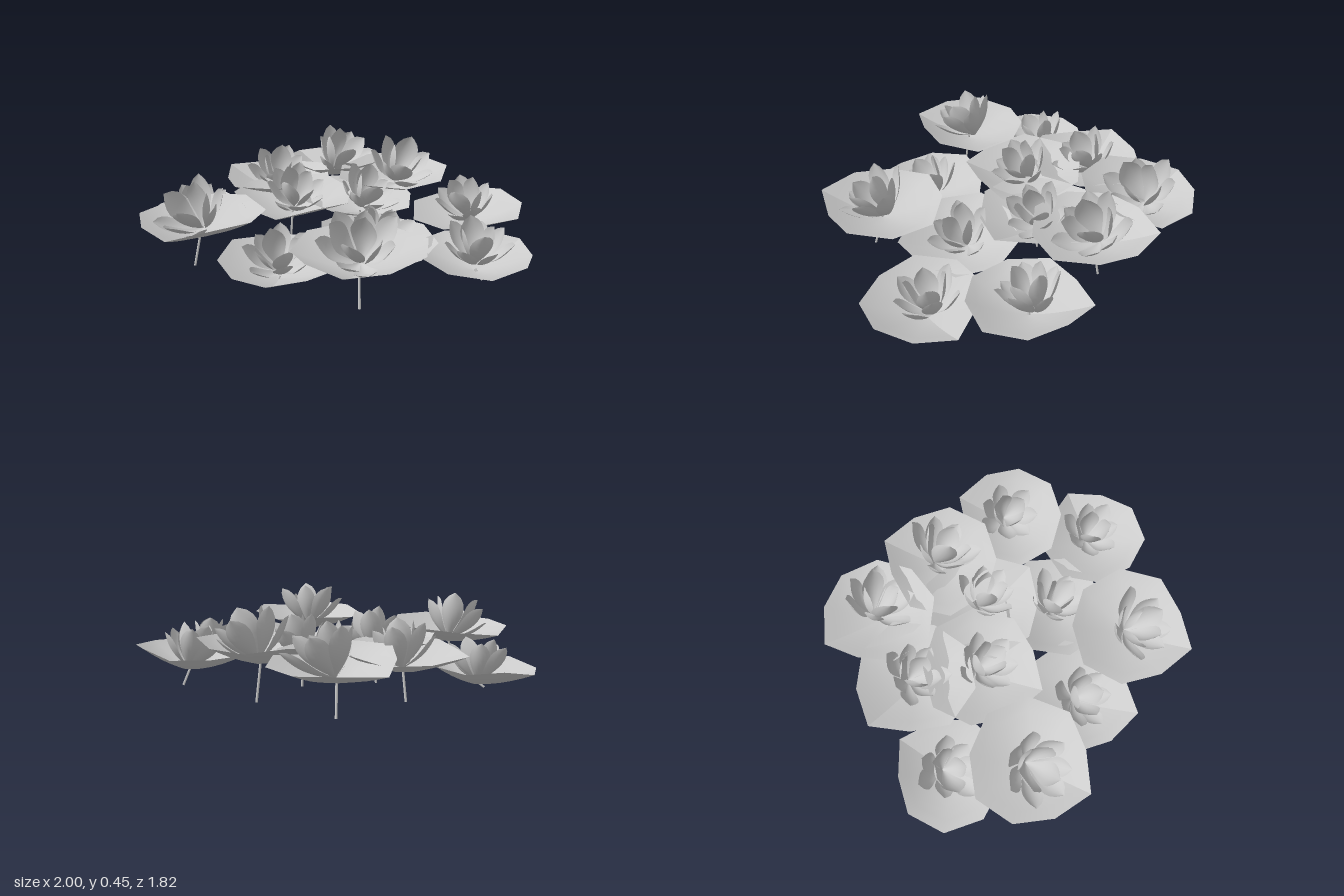
import * as THREE from 'three';

const material = new THREE.MeshStandardMaterial({ color: 0xcccccc, side: THREE.DoubleSide });

// x, z, height of leaf base, leaf scale, direction of leaf tip, leaf tilt about x and z, flower lean direction and angle
const PLANTS = [
  [-0.12, -0.635, 0.155, 0.295, -2.5, -0.1, 0, 0.5, 0.5],
  [0.265, -0.45, 0.175, 0.3, -1.6, 0.03, 0.03, 0.7, 0.5],
  [0.69, -0.22, 0.08, 0.285, -1.57, 0.04, 0.09, 2.2, 0.35],
  [0.745, 0.24, 0.035, 0.28, -0.8, 0, 0, 1.6, 0.2],
  [0.255, 0.6, 0.165, 0.305, 1.6, -0.02, 0.03, 1.5, 0.55],
  [-0.14, 0.47, 0.02, 0.29, 1.5, 0.02, 0, 1.6, 0.4],
  [-0.56, 0.36, 0.155, 0.305, 1.7, -0.02, 0.06, 2.0, 0.55],
  [-0.715, -0.02, 0.015, 0.28, -1.36, 0.03, 0.07, 1.7, 0.4],
  [-0.375, -0.335, 0.14, 0.305, -2.8, -0.04, 0.03, 1.2, 0.45],
  [-0.205, -0.03, 0.145, 0.305, 1.57, 0.02, 0, 1.1, 0.45],
  [0.13, -0.15, 0.125, 0.3, 0.5, 0, 0, 0.6, 0.45],
  [0.27, 0.2, 0.045, 0.29, 1.2, 0.03, -0.12, 0.6, 0.4],
];

// Rim radius at each of the nine corners, starting at the tip
const RIM = [1.03, 0.87, 1.0, 1.06, 1.04, 0.98, 1.03, 0.98, 0.92];

// Shallow nine-cornered bowl with a slightly rippled rim
function leafGeometry(scale, tip, seed) {
  const geometry = new THREE.RingGeometry(0.002, 1, RIM.length, 5);
  geometry.rotateX(-Math.PI / 2);
  const p = geometry.attributes.position;
  for (let i = 0; i < p.count; i++) {
    const corner = i % (RIM.length + 1);
    const t = Math.hypot(p.getX(i), p.getZ(i));
    const a = tip - (corner / RIM.length) * Math.PI * 2;
    const r = t * scale * RIM[corner % RIM.length];
    const y = 0.1 * Math.pow(t, 1.5) + 0.012 * t * t * Math.sin(3 * a + seed * 2);
    p.setXYZ(i, Math.cos(a) * r, y, Math.sin(a) * r);
  }
  geometry.computeVertexNormals();
  return geometry;
}

// Spoon-shaped petal rising along y, with its hollow face towards +z
function petalGeometry(length, width) {
  const geometry = new THREE.PlaneGeometry(1, 1, 6, 10);
  const p = geometry.attributes.position;
  for (let i = 0; i < p.count; i++) {
    const u = p.getX(i) * 2;
    const v = p.getY(i) + 0.5;
    const half = (width / 2) * (0.1 * (1 - v) + Math.pow(Math.max(0, Math.sin(Math.PI * Math.pow(v, 1.7))), 0.75));
    p.setXYZ(i, u * half, v * length, 0.35 * half * u * u - 0.1 * length * Math.sin(Math.PI * v));
  }
  geometry.computeVertexNormals();
  return geometry;
}

const RINGS = [
  { name: 'outerPetal', count: 7, elevation: 0.78, geometry: petalGeometry(0.24, 0.1) },
  { name: 'innerPetal', count: 4, elevation: 1.15, geometry: petalGeometry(0.24, 0.115) },
];

// Two rings of petals, spread low outside and standing inside
function flower(seed, scale) {
  const group = new THREE.Group();
  group.name = 'flower';
  RINGS.forEach((ring, k) => {
    for (let i = 0; i < ring.count; i++) {
      const petal = new THREE.Mesh(ring.geometry, material);
      petal.name = ring.name;
      petal.rotation.order = 'YXZ';
      petal.rotation.y = ((i + 0.5 * k) / ring.count) * Math.PI * 2 + seed + 0.15 * Math.sin(i * 5 + seed);
      petal.rotation.x = ring.elevation + 0.1 * Math.sin(i * 3.7 + seed) - Math.PI / 2;
      petal.scale.setScalar(scale * (1 + 0.06 * Math.sin(i * 2.3 + seed)));
      group.add(petal);
    }
  });
  return group;
}

// Thin stem leaning outwards on its way down
function stem(top, foot) {
  const path = new THREE.LineCurve3(foot, top);
  const mesh = new THREE.Mesh(new THREE.TubeGeometry(path, 1, 0.006, 6), material);
  mesh.name = 'stem';
  return mesh;
}

export function createModel() {
  const model = new THREE.Group();
  model.name = 'waterLilies';
  PLANTS.forEach(([x, z, y, scale, tip, tiltX, tiltZ, lean, angle], i) => {
    const plant = new THREE.Group();
    plant.name = 'waterLily';

    const leaf = new THREE.Mesh(leafGeometry(scale, tip, i), material);
    leaf.name = 'leaf';
    leaf.position.set(x, y, z);
    leaf.rotation.set(tiltX, 0, tiltZ);

    // Flower sits a little behind the middle and leans to its open side
    const bloom = flower(i * 0.9, y > 0.15 ? 1.04 : 0.93);
    bloom.position.set(x, y + 0.02, z - 0.035);
    const axis = new THREE.Vector3(Math.sin(lean), 0, -Math.cos(lean));
    bloom.quaternion.setFromAxisAngle(axis, angle);

    const foot = new THREE.Vector3(x * 1.05, 0, z * 1.08);
    plant.add(leaf, bloom, stem(new THREE.Vector3(x, y + 0.01, z), foot));
    model.add(plant);
  });
  return model;
}
